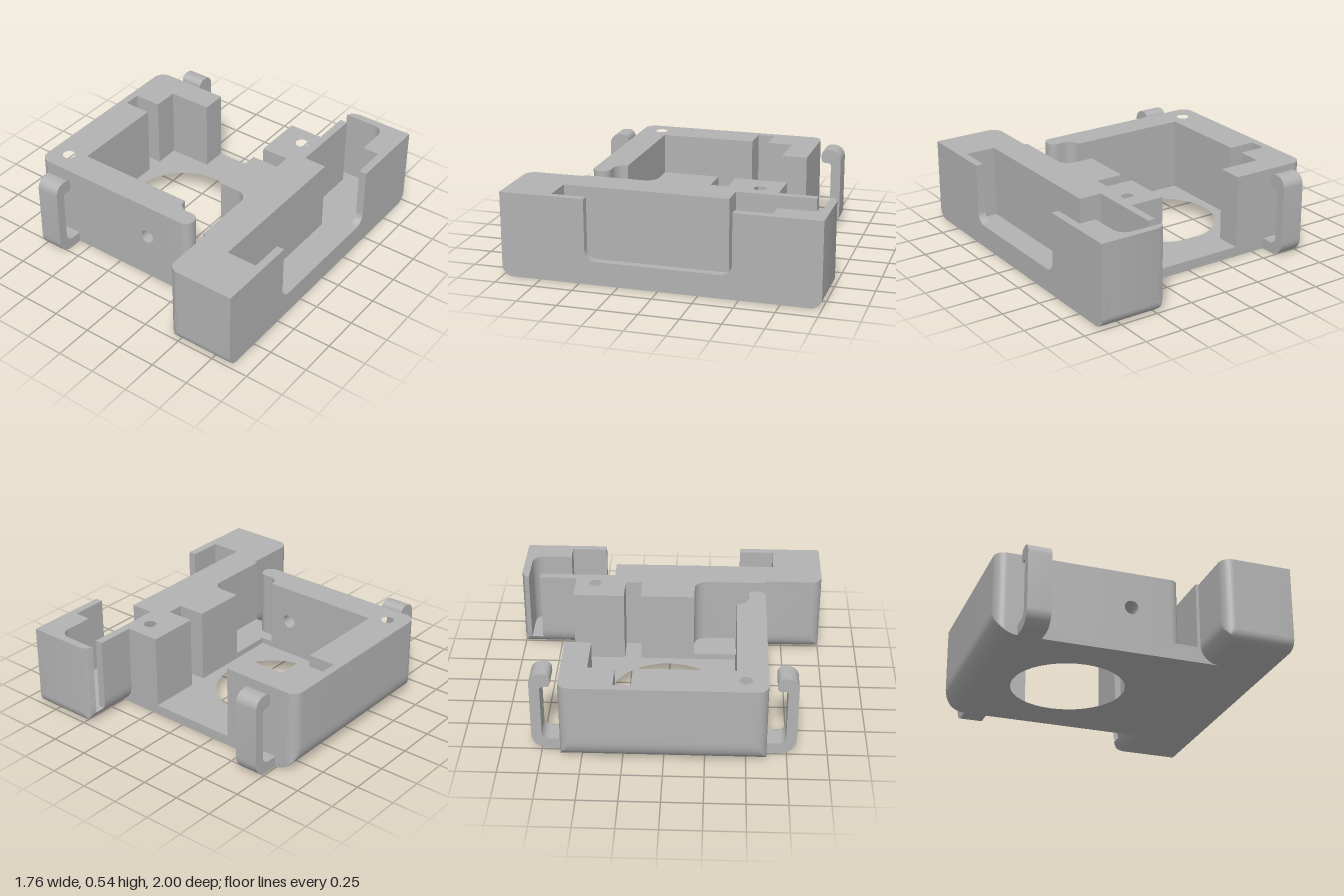
import * as THREE from 'three';
import { toCreasedNormals } from 'three/addons/utils/BufferGeometryUtils.js';

const TOP = 0.54, BODY_FLOOR = 0.065, BAR_FLOOR = 0.07;

// Polygon of [u, v, radius?] corners, rounded where a radius is given
function roundedShape(points) {
  const s = new THREE.Shape();
  const n = points.length, k = 0.5523;
  points.forEach(([u, v, r = 0], i) => {
    const p = new THREE.Vector2(u, v);
    const toward = (q) => new THREE.Vector2(q[0], q[1]).sub(p).normalize();
    const a = toward(points[(i + n - 1) % n]), b = toward(points[(i + 1) % n]);
    const p0 = p.clone().addScaledVector(a, r), p1 = p.clone().addScaledVector(b, r);
    if (i === 0) s.moveTo(p0.x, p0.y); else s.lineTo(p0.x, p0.y);
    if (r) {
      const c0 = p0.clone().lerp(p, k), c1 = p1.clone().lerp(p, k);
      s.bezierCurveTo(c0.x, c0.y, c1.x, c1.y, p1.x, p1.y);
    }
  });
  s.closePath();
  return s;
}

function circleHole(shape, u, v, r) {
  const h = new THREE.Path();
  h.absarc(u, v, r, 0, Math.PI * 2, true);
  shape.holes.push(h);
}

// Inset of a quarter-round bottom edge at height y
const inset = (y, r) => (y >= r ? 0 : r - Math.sqrt(r * r - (r - y) ** 2));

// Body: large round along the lower left edge
const bodyRound = (p) => { p.x = Math.max(p.x, -0.885 + inset(p.y, 0.15)); };
// Bar: rounds along the lower ends and lower inner edge
const barRound = (p) => {
  p.x = Math.max(p.x, 0.43 + inset(p.y, 0.12));
  const zMax = 1 - inset(p.y, 0.07);
  p.z = THREE.MathUtils.clamp(p.z, -zMax, zMax);
};

// Plan outline in (x, z) raised from y0 to y1, then shaped by a rule
function raise(points, y0, y1, { holes = [], rule, steps = 1 } = {}) {
  const shape = roundedShape(points.map(([x, z, r]) => [x, -z, r]));
  holes.forEach(([x, z, r]) => circleHole(shape, x, -z, r));
  const g = new THREE.ExtrudeGeometry(shape, { depth: 1, steps, bevelEnabled: false, curveSegments: 20 });
  g.rotateX(-Math.PI / 2);
  const pos = g.attributes.position, p = new THREE.Vector3();
  for (let i = 0; i < pos.count; i++) {
    p.fromBufferAttribute(pos, i);
    p.y = y0 + (y1 - y0) * Math.pow(Math.max(p.y, 0), 1.7);
    if (rule) rule(p);
    pos.setXYZ(i, p.x, p.y, p.z);
  }
  return g;
}

// Side profile in (z, y) extruded from x0 to x1
function sideways(points, x0, x1) {
  const shape = roundedShape(points.map(([z, y, r]) => [-z, y, r]));
  const g = new THREE.ExtrudeGeometry(shape, { depth: x1 - x0, bevelEnabled: false, curveSegments: 10 });
  return g.rotateY(Math.PI / 2).translate(x0, 0, 0);
}

export function createModel() {
  const group = new THREE.Group();
  const grey = new THREE.MeshStandardMaterial({ color: 0xb2b2b2 });
  grey.name = 'grey plastic';
  const add = (name, geometry) => {
    const mesh = new THREE.Mesh(toCreasedNormals(geometry, 0.5), grey);
    mesh.name = name;
    group.add(mesh);
  };

  // Floor plate with the large round opening
  add('bodyFloor', raise(
    [[-0.885, -0.63, 0.07], [0.6, -0.63], [0.6, 0.625], [-0.885, 0.625, 0.07]],
    0, BODY_FLOOR, { holes: [[-0.225, 0, 0.365]], rule: bodyRound, steps: 8 }));

  // Left wall wrapping round to the front and back, with a notch and screw hole
  add('leftWall', raise(
    [[-0.885, -0.63, 0.07], [-0.37, -0.63], [-0.37, -0.465], [-0.655, -0.465],
      [-0.655, -0.3], [-0.835, -0.3], [-0.835, -0.19], [-0.655, -0.19],
      [-0.655, 0.435], [-0.2, 0.435], [-0.2, 0.625], [-0.885, 0.625, 0.07]],
    BODY_FLOOR, TOP, { holes: [[-0.76, 0.49, 0.04]], rule: bodyRound, steps: 14 }));

  // Front wall section with a round through hole
  const front = roundedShape([[-0.2, BODY_FLOOR], [0.1, BODY_FLOOR], [0.1, TOP], [-0.2, TOP]]);
  circleHole(front, -0.02, 0.305, 0.045);
  add('frontWall', new THREE.ExtrudeGeometry(front,
    { depth: 0.19, bevelEnabled: false, curveSegments: 20 }).translate(0, 0, 0.435));

  // Rounded end of the front wall beside the channel
  add('frontWallEnd', raise(
    [[0.1, 0.435], [0.13, 0.435], [0.13, 0.51, 0.07], [0.295, 0.51, 0.05],
      [0.295, 0.625, 0.055], [0.1, 0.625]], BODY_FLOOR, TOP));

  // Raised floor of the channel
  add('channelFloor', raise(
    [[0.205, 0.1], [0.45, 0.1], [0.45, 0.625], [0.1, 0.625], [0.1, 0.435], [0.205, 0.435]],
    BODY_FLOOR, 0.105));

  // Right wall between the pocket and the bar
  add('rightWall', raise(
    [[0.205, -0.63], [0.45, -0.63], [0.45, 0.625], [0.41, 0.625], [0.41, 0.16, 0.08],
      [0.205, 0.16], [0.205, -0.19], [0.385, -0.19], [0.385, -0.3], [0.205, -0.3]],
    BODY_FLOOR, TOP, { holes: [[0.37, -0.5, 0.04]] }));

  // Long bar: floor, front end with inner wall, and back end
  add('barFloor', raise(
    [[0.43, -1, 0.07], [0.83, -1], [0.83, 1], [0.43, 1, 0.07]],
    0, BAR_FLOOR, { rule: barRound, steps: 8 }));
  add('barInnerWall', raise(
    [[0.43, -0.875], [0.48, -0.875], [0.48, -0.375], [0.63, -0.375], [0.63, 0.68],
      [0.83, 0.68], [0.83, 1], [0.43, 1, 0.07]],
    BAR_FLOOR, TOP, { rule: barRound, steps: 10 }));
  add('barBackEnd', raise(
    [[0.83, -1], [0.83, -0.69], [0.72, -0.69], [0.72, -0.95, 0.08], [0.432, -0.95],
      [0.45, -0.982], [0.495, -1]],
    BAR_FLOOR, TOP, { rule: barRound, steps: 10 }));

  // Outer wall of the bar with its wide cutout
  add('barOuterWall', sideways(
    [[-1, 0, 0.07], [1, 0, 0.07], [1, TOP], [0.46, TOP], [0.46, 0.15, 0.07],
      [-0.46, 0.15, 0.07], [-0.46, TOP], [-1, TOP]], 0.83, 0.88));

  // Spring clips on the front and back
  for (const [name, side, z0] of [['frontClip', 1, 0.615], ['backClip', -1, 0.62]]) {
    const profile = [[0, 0], [0.195, 0, 0.1], [0.195, TOP, 0.07], [0.065, TOP, 0.04],
      [0.065, 0.45, 0.025], [0.13, 0.45, 0.02], [0.13, 0.07, 0.05], [0, 0.07]];
    add(name, sideways(profile.map(([d, y, r]) => [side * (z0 + d), y, r]), -0.74, -0.59));
  }
  return group;
}
